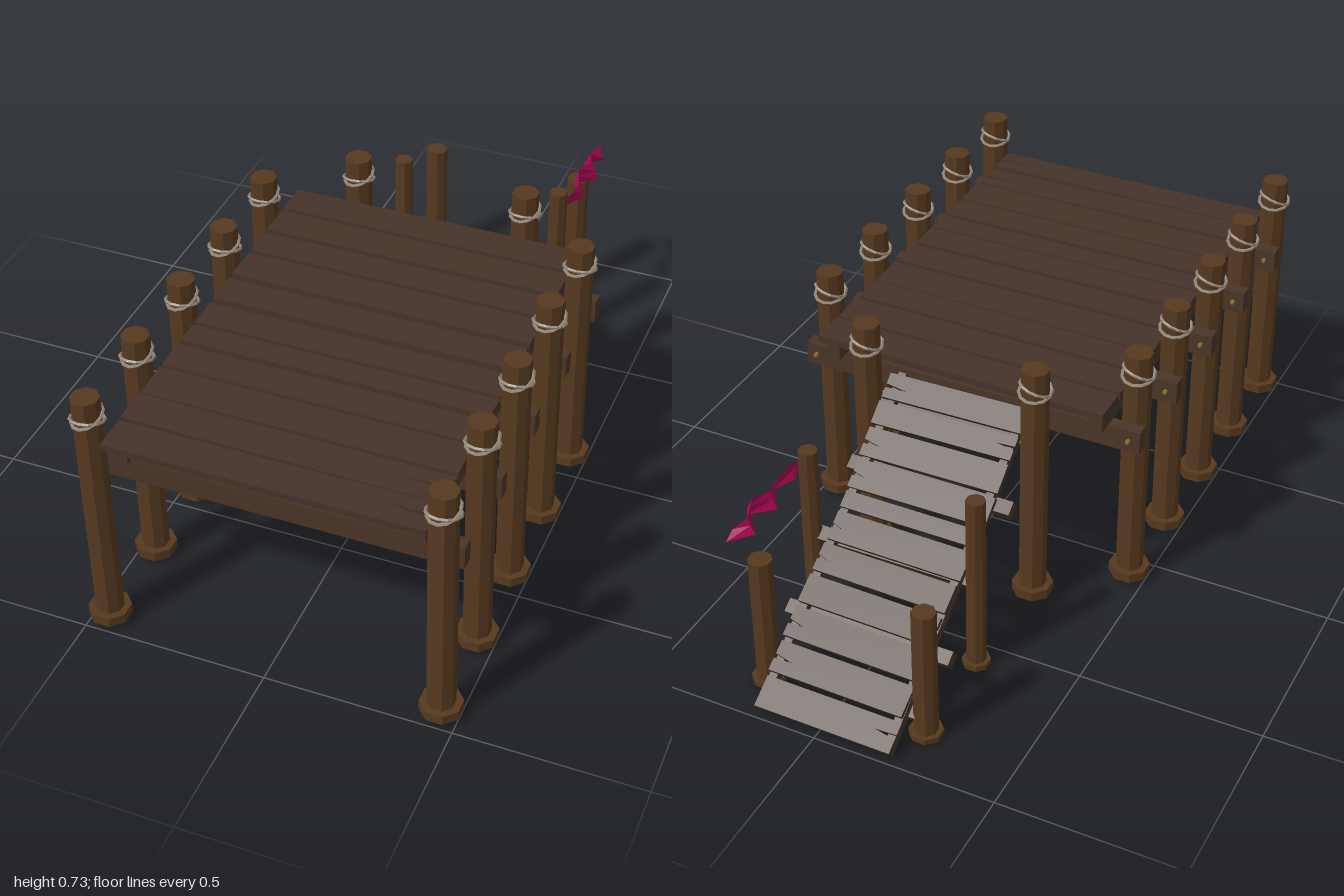
import * as THREE from 'three';

const mat = (color, extra = {}) => new THREE.MeshStandardMaterial({ color, flatShading: true, ...extra });
const postMat = mat(0x56391f);
const plankMat = mat(0x46332a);
const beamMat = mat(0x4a3526);
const ropeMat = mat(0x94867a);
const boltMat = mat(0x8a7a2c);
const clothMat = mat(0xa8064f, { side: THREE.DoubleSide });

function add(parent, name, geo, material, x = 0, y = 0, z = 0) {
  const m = new THREE.Mesh(geo, material);
  m.name = name;
  m.position.set(x, y, z);
  parent.add(m);
  return m;
}

// repeatable wobble in -1..1 for hand-built irregularity
const wobble = (i) => Math.sin(i * 12.9898 + 1.3);

// upright eight-sided cylinder with flats facing front and sides
function octagon(rTop, rBottom, h) {
  return new THREE.CylinderGeometry(rTop, rBottom, h, 8).rotateY(Math.PI / 8).translate(0, h / 2, 0);
}

// board lying flat, centred, with an optional split in its +x or -x end
function plankGeometry(w, d, t, split = 0, side = 1) {
  const s = new THREE.Shape();
  const a = w / 2, b = d / 2;
  s.moveTo(-a, -b);
  s.lineTo(a, -b);
  if (split) {
    s.lineTo(a, -b * 0.1);
    s.lineTo(a - split, b * 0.15);
    s.lineTo(a, b * 0.2);
  }
  s.lineTo(a, b);
  s.lineTo(-a, b);
  const g = new THREE.ExtrudeGeometry(s, { depth: t, bevelEnabled: false });
  g.rotateX(-Math.PI / 2).translate(0, -t / 2, 0);
  return side < 0 ? g.rotateY(Math.PI) : g;
}

// post on a wide foot, optionally bound by two crossed rope loops
function makePost(x, z, base, top, r, footR, footH, rope, i) {
  const g = new THREE.Group();
  g.name = 'post';
  g.position.set(x, base, z);
  add(g, 'postShaft', octagon(r, r, top - base), postMat);
  add(g, 'postFoot', octagon(footR, footR, footH), postMat);
  if (rope) {
    for (const s of [-1, 1]) {
      const loop = add(g, 'ropeLoop', new THREE.TorusGeometry(0.043, 0.0045, 5, 12).rotateX(Math.PI / 2),
        ropeMat, 0, 0.65 + s * 0.004, 0);
      loop.rotation.set(s * 0.3, 0, s * 0.12 + 0.16 * (x < 0 ? 1 : 0.8));
    }
    g.children[2].rotation.y = i * 0.4;
  }
  return g;
}

function makeDeck() {
  const deck = new THREE.Group();
  deck.name = 'deck';
  // post pairs, each with a cross beam bolted behind
  [0.948, 0.69, 0.44, 0.185, -0.068].forEach((z, i) => {
    for (const s of [-1, 1]) {
      deck.add(makePost(s * 0.453, z, 0.015, 0.727, 0.037, 0.056, 0.027, true, i));
      const bolt = add(deck, 'beamBolt', new THREE.CylinderGeometry(0.006, 0.006, 0.06, 6).rotateX(Math.PI / 2),
        boltMat, s * 0.462, 0.5, z - 0.053);
      bolt.rotation.z = i;
    }
    add(deck, 'crossBeam', new THREE.BoxGeometry(0.986, 0.065, 0.038), beamMat, 0, 0.4975, z - 0.053);
  });
  // lengthwise joists
  for (const s of [-1, 1]) {
    add(deck, 'joist', new THREE.BoxGeometry(0.036, 0.06, 1.11), beamMat, s * 0.385, 0.559, 0.375);
  }
  // boards: back edge and front edge of each
  const boards = [[-0.207, -0.106], [-0.095, 0.005], [0.02, 0.11], [0.12, 0.228], [0.244, 0.34], [0.36, 0.45],
    [0.46, 0.53], [0.546, 0.637], [0.647, 0.753], [0.764, 0.86], [0.87, 0.966]];
  boards.forEach(([a, b], i) => {
    const split = i > 8 ? 0.13 : 0;
    const board = add(deck, 'deckBoard', plankGeometry(0.832, b - a, 0.02, split), plankMat,
      0, 0.597 + 0.002 * wobble(i), (a + b) / 2);
    board.rotation.set(0.02 * wobble(i + 5), 0.004 * wobble(i + 9), i === 9 ? -0.012 : 0.004 * wobble(i + 2));
  });
  return deck;
}

function makeRamp() {
  const ramp = new THREE.Group();
  ramp.name = 'ramp';
  // sloped frame: local -z runs down the ramp
  const slope = new THREE.Group();
  slope.name = 'rampSlope';
  slope.position.set(-0.018, 0.58, -0.19);
  slope.rotation.x = -0.599;
  ramp.add(slope);
  for (const s of [-1, 1]) {
    add(slope, 'rampStringer', new THREE.BoxGeometry(0.022, 0.03, 0.955), beamMat, s * 0.18 + 0.002, -0.027, -0.495);
  }
  [0.09, 0.283, 0.49, 0.698, 0.85].forEach((d) => {
    add(slope, 'rampCrossBeam', new THREE.BoxGeometry(0.472, 0.034, 0.038), beamMat, 0, -0.054, -d);
  });
  // treads, one of them narrow
  const widths = [0.07, 0.064, 0.08, 0.08, 0.046, 0.08, 0.077, 0.077, 0.083, 0.083, 0.083];
  let d = 0.028;
  widths.forEach((w, i) => {
    const tread = add(slope, 'rampTread', plankGeometry(0.392 + 0.012 * wobble(i), w, 0.015,
      0.05 + 0.02 * wobble(i + 3), i % 3 === 1 ? -1 : 1), plankMat, 0.005 * wobble(i * 2), -0.006, -(d + w / 2));
    tread.rotation.set(0.05 * wobble(i + 7), 0.015 * wobble(i + 1), 0.01 * wobble(i + 4));
    d += w + 0.0125;
  });
  // tall posts at the head, shorter ones down the slope
  ramp.add(makePost(-0.249, -0.254, 0.015, 0.727, 0.037, 0.056, 0.027, true, 1));
  ramp.add(makePost(0.238, -0.254, 0.015, 0.727, 0.037, 0.056, 0.027, true, 3));
  for (const [x, z, top, r, foot] of [[-0.24, -0.575, 0.53, 0.026, 0.038], [0.236, -0.575, 0.53, 0.026, 0.038],
    [-0.245, -0.864, 0.395, 0.032, 0.045], [0.21, -0.864, 0.395, 0.032, 0.045]]) {
    ramp.add(makePost(x, z, 0.002, top, r, foot, 0.016, false, 0));
  }
  return ramp;
}

// crumpled cloth strip tied to a ramp post, ending in a swallowtail
function makePennant() {
  // x, z, lower y, upper y, lean of the upper edge
  const rows = [[0.255, -0.592, 0.476, 0.5, 0], [0.257, -0.62, 0.462, 0.504, 0.006], [0.273, -0.68, 0.458, 0.497, -0.008],
    [0.238, -0.74, 0.456, 0.512, 0.008], [0.28, -0.79, 0.453, 0.51, -0.01], [0.236, -0.85, 0.456, 0.5, 0.01],
    [0.27, -0.905, 0.452, 0.498, -0.008]];
  const pos = [], idx = [];
  rows.forEach(([x, z, lo, hi, lean], i) => {
    const mid = i === rows.length - 1 ? 0.028 : 0;
    pos.push(x - lean, lo, z, x + 0.004, (lo + hi) / 2, z + mid, x + lean, hi, z);
    if (i) {
      for (let k = 0; k < 2; k++) {
        const a = (i - 1) * 3 + k, b = i * 3 + k;
        idx.push(a, b, a + 1, b, b + 1, a + 1);
      }
    }
  });
  const g = new THREE.BufferGeometry();
  g.setAttribute('position', new THREE.Float32BufferAttribute(pos, 3));
  g.setIndex(idx);
  g.computeVertexNormals();
  return g;
}

export function createModel() {
  const model = new THREE.Group();
  model.name = 'woodenDock';
  model.add(makeDeck(), makeRamp());
  add(model, 'pennant', makePennant(), clothMat);
  return model;
}
